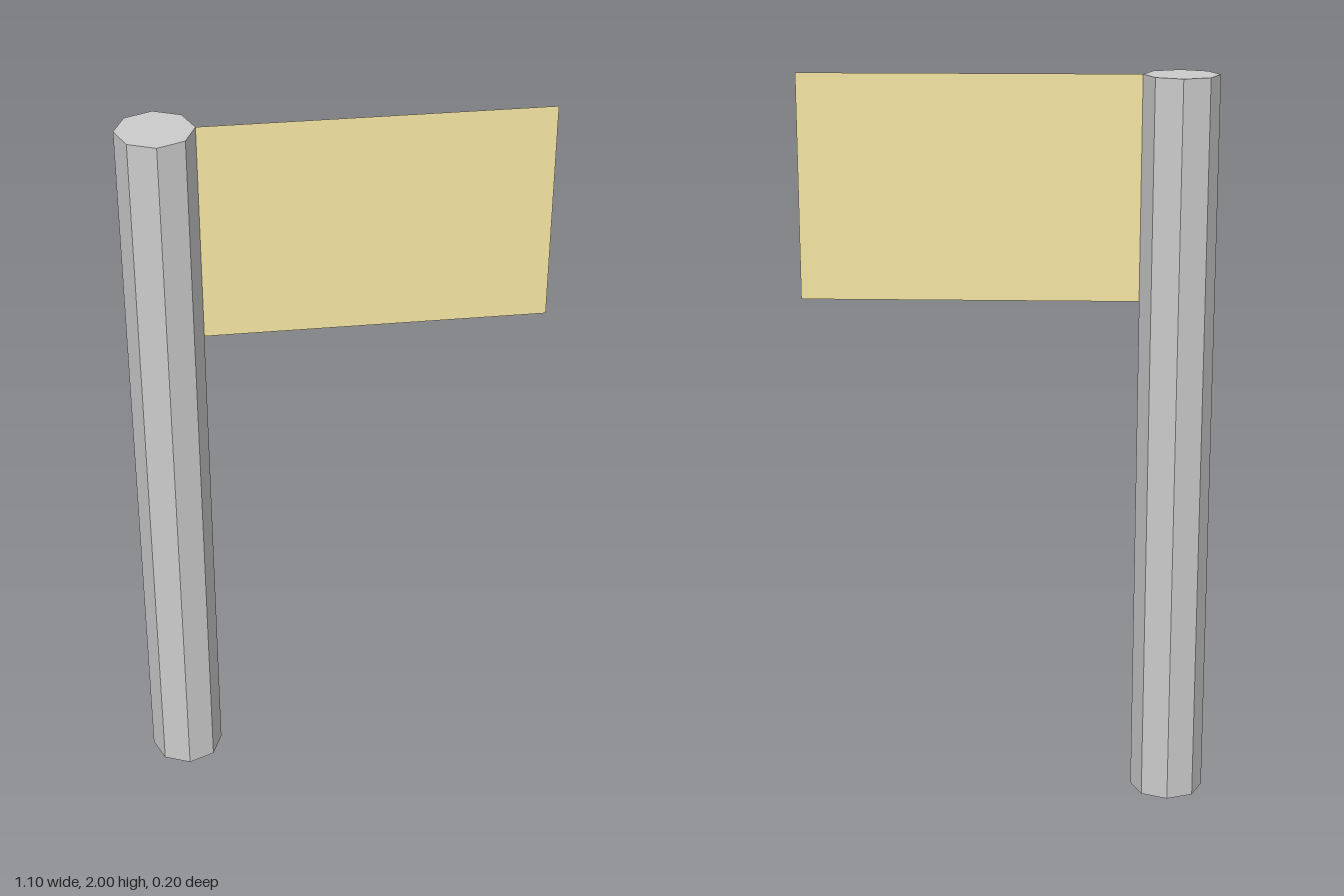
import * as THREE from 'three';

const POLE_X = -0.45, POLE_RADIUS = 0.1, POLE_HEIGHT = 2;
const FLAG_WIDTH = 0.9, FLAG_HEIGHT = 0.6;

export function createModel() {
  const model = new THREE.Group();
  model.name = 'flagOnPole';

  // Eight-sided pole
  const pole = new THREE.Mesh(
    new THREE.CylinderGeometry(POLE_RADIUS, POLE_RADIUS, POLE_HEIGHT, 8),
    new THREE.MeshStandardMaterial({ color: 0xcccccc, flatShading: true })
  );
  pole.name = 'pole';
  pole.position.set(POLE_X, POLE_HEIGHT / 2, 0);
  model.add(pole);

  // Flat flag, flush with the top of the pole and touching its side
  const flag = new THREE.Mesh(
    new THREE.PlaneGeometry(FLAG_WIDTH, FLAG_HEIGHT),
    new THREE.MeshStandardMaterial({ color: 0xf4e6a3, side: THREE.DoubleSide })
  );
  flag.name = 'flag';
  flag.position.set(POLE_X + POLE_RADIUS + FLAG_WIDTH / 2, POLE_HEIGHT - FLAG_HEIGHT / 2, 0);
  model.add(flag);

  return model;
}
